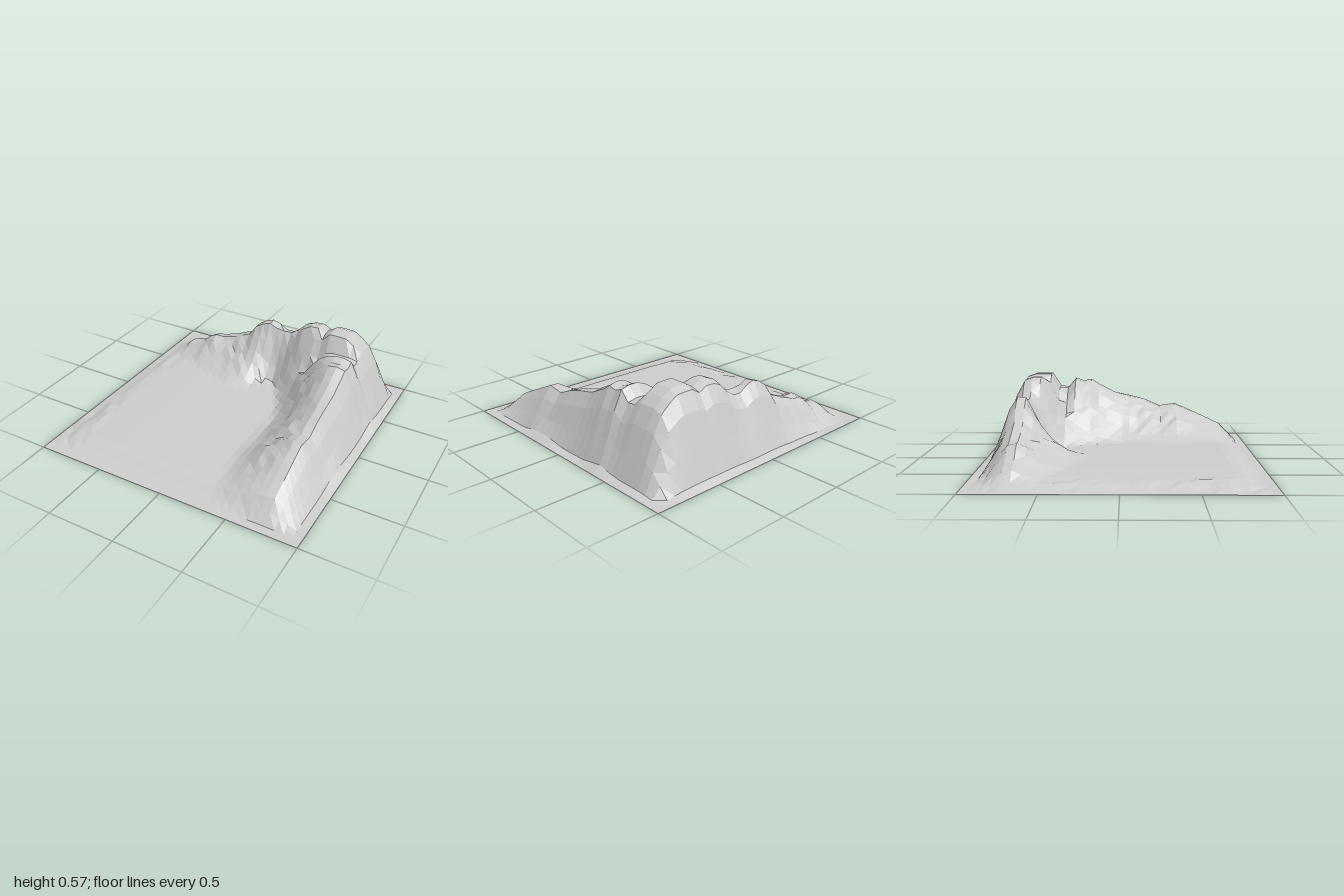
import * as THREE from 'three';

const CELLS = 32;
const FLOOR = 0.055;

// Piecewise-linear curve through [position, value] knots
function curve(knots) {
  return (t) => {
    if (t <= knots[0][0]) return knots[0][1];
    for (let i = 1; i < knots.length; i++) {
      const [a, va] = knots[i - 1], [b, vb] = knots[i];
      if (t <= b) return va + (vb - va) * (t - a) / (b - a);
    }
    return knots[knots.length - 1][1];
  };
}

// Crest heights of the back ridge (along x) and the side ridge (along z)
const backCrest = curve([[-1, 0], [-0.94, 0.01], [-0.87, 0.04], [-0.81, 0.11], [-0.69, 0.15],
  [-0.62, 0.22], [-0.56, 0.245], [-0.5, 0.235], [-0.37, 0.275], [-0.31, 0.305], [-0.25, 0.33],
  [-0.19, 0.42], [-0.12, 0.47], [-0.06, 0.49], [0, 0.47], [0.06, 0.43], [0.12, 0.43],
  [0.19, 0.475], [0.25, 0.54], [0.31, 0.565], [0.37, 0.57], [0.44, 0.535], [0.5, 0.575],
  [0.62, 0.575], [0.69, 0.53], [0.75, 0.49]]);
const sideCrest = curve([[-0.69, 0.47], [-0.5, 0.46], [-0.44, 0.45], [-0.37, 0.53], [-0.31, 0.5],
  [-0.25, 0.515], [-0.19, 0.475], [-0.06, 0.41], [0.06, 0.385], [0.19, 0.35], [0.31, 0.295],
  [0.44, 0.315], [0.6, 0.24], [0.81, 0.14], [0.875, 0.07], [0.94, 0]]);

// Where each inner slope starts and where it meets the basin floor
const backTop = curve([[-0.3, -0.7], [0, -0.7], [0.3, -0.62], [0.5, -0.56]]);
const backToe = curve([[-0.8, -0.5], [-0.5, -0.36], [-0.25, -0.25], [-0.12, -0.25], [0, -0.48],
  [0.06, -0.5], [0.2, -0.37], [0.3, -0.3], [0.45, -0.26]]);
const backBend = curve([[-0.6, 1.2], [-0.25, 1.5], [-0.1, 2.1], [0, 1.3], [0.2, 1.2]]);
const sideTop = curve([[-0.5, 0.6], [-0.35, 0.62], [-0.15, 0.68], [0.1, 0.74]]);
const sideToe = curve([[-0.6, 0.04], [-0.37, 0.15], [-0.2, 0.25], [0, 0.3], [0.4, 0.27], [0.8, 0.32]]);

// Steep outer faces and the thin rim around the basin floor
const backOuter = curve([[-1, 0], [-0.94, 0.03], [-0.875, 0.4], [-0.81, 0.78], [-0.75, 0.96], [-0.69, 1]]);
const backInset = curve([[-0.6, 0.04], [-0.45, 0]]);
const sideOuter = curve([[0.69, 1], [0.75, 0.97], [0.81, 0.74], [0.875, 0.38], [0.94, 0.02], [1, 0]]);
const westRim = curve([[-1, 0], [-0.94, 0.15], [-0.875, 0.6], [-0.81, 0.8], [-0.5, 1]]);
const frontRim = curve([[0.75, 1], [0.81, 0.87], [0.875, 0.32], [0.94, 0.06], [1, 0]]);

// Low scree mounds at the foot of the side face
const scree = curve([[-0.55, 0], [-0.37, 0.03], [-0.2, 0], [0.04, 0], [0.25, 0.03], [0.35, 0.025], [0.52, 0]]);

// Repeatable roughness in -1..1
function rough(i, j) {
  const s = Math.sin(i * 127.1 + j * 311.7) * 43758.5453;
  return (s - Math.floor(s)) * 2 - 1;
}

// How far t has climbed from the toe (0) to the crest (1)
const climb = (t, top, toe) => THREE.MathUtils.clamp((t - toe) / (top - toe), 0, 1);

function height(x, z, i, j) {
  const base = FLOOR * westRim(x) * frontRim(z);
  const b = Math.pow(climb(z, backTop(x), backToe(x)), backBend(x));
  const k = Math.pow(climb(x, sideTop(z), sideToe(z)), 0.88);
  const s = 0.25 * k + 0.75 * k * k * (3 - 2 * k);
  const back = Math.max(0, backCrest(x) - base) * b;
  const side = Math.max(0, sideCrest(z) - base) * s;
  const relief = Math.max(back, side);
  const rise = back > side ? b : s;
  const bumps = rough(i, j) * Math.min(0.018, relief * 0.13) * 4 * rise * (1 - rise);
  const shore = x < -0.75 && x > -0.95 && Math.abs(z) < 0.88 ? 0.008 * rough(j >> 1, i) : 0;
  const foot = x > 0.9 && x < 0.97 ? scree(z) : 0;
  const outer = backOuter(z - backInset(x)) * sideOuter(x);
  return Math.max(0, (base + relief + bumps + shore) * outer + foot);
}

export function createModel() {
  const group = new THREE.Group();
  group.name = 'terrain';

  // Square height grid, each cell split from its back-left to its front-right corner
  const positions = [], indices = [];
  const row = CELLS + 1;
  for (let j = 0; j <= CELLS; j++) {
    for (let i = 0; i <= CELLS; i++) {
      const x = -1 + 2 * i / CELLS, z = -1 + 2 * j / CELLS;
      positions.push(x, height(x, z, i, j), z);
      if (i < CELLS && j < CELLS) {
        const a = j * row + i, b = a + 1, c = a + row, d = c + 1;
        indices.push(a, c, d, a, d, b);
      }
    }
  }
  const geometry = new THREE.BufferGeometry();
  geometry.setAttribute('position', new THREE.Float32BufferAttribute(positions, 3));
  geometry.setIndex(indices);
  geometry.computeVertexNormals();

  const ground = new THREE.Mesh(geometry, new THREE.MeshStandardMaterial({
    color: 0xcccccc, flatShading: true, side: THREE.DoubleSide,
  }));
  ground.name = 'mountainBasin';
  group.add(ground);
  return group;
}
